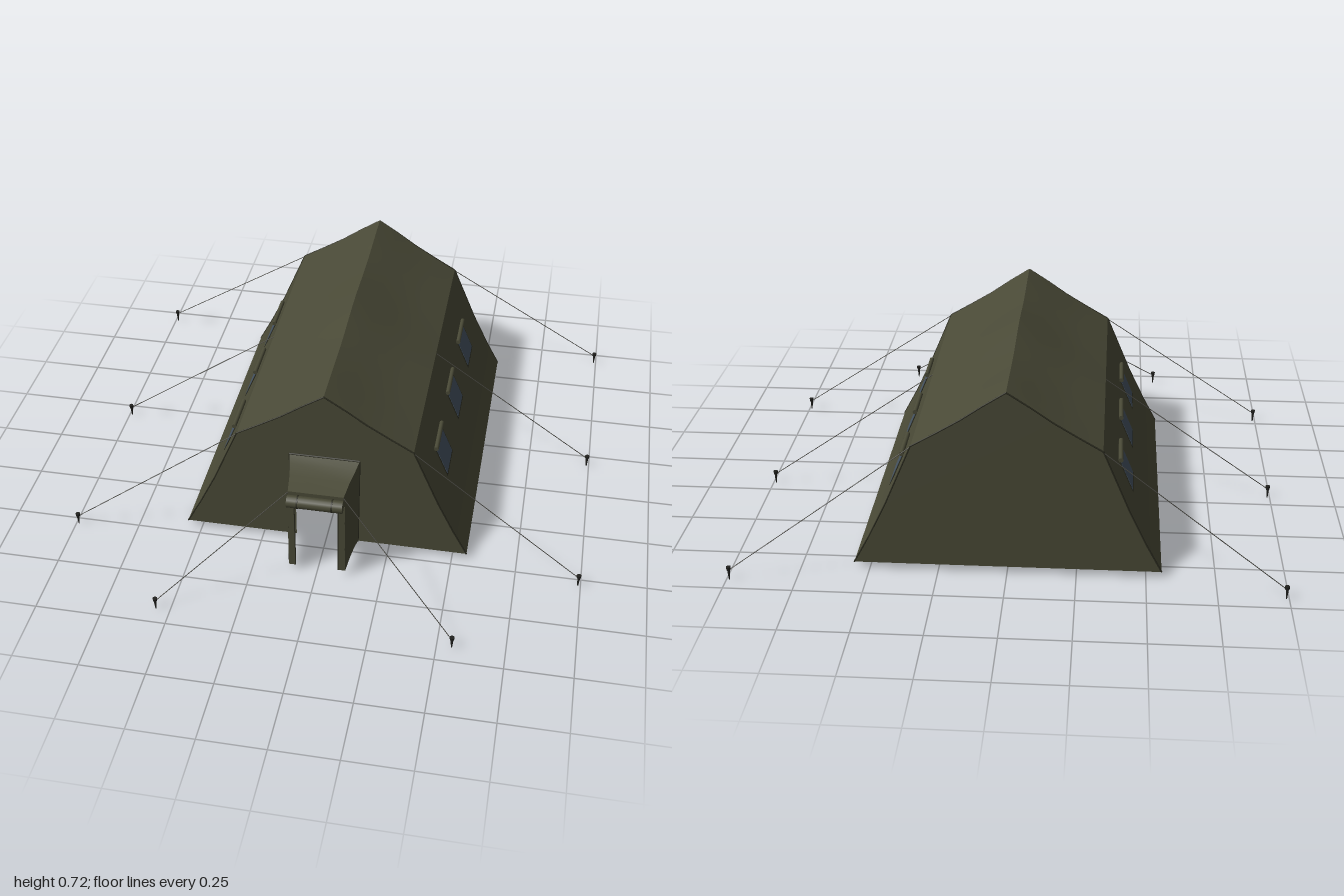
import * as THREE from 'three';
import { toCreasedNormals } from 'three/addons/utils/BufferGeometryUtils.js';

const material = (name, color, side = THREE.FrontSide) => {
  const m = new THREE.MeshStandardMaterial({ color, side });
  m.name = name;
  return m;
};

export function createModel() {
  const canvas = material('olive canvas', 0x4a4a37, THREE.DoubleSide);
  const trim = material('dark hem', 0x2c2c20);
  const glass = material('window film', 0x465462);
  const rope = material('guy rope', 0x4b4a44);
  const metal = material('stake metal', 0x20201d);

  const model = new THREE.Group();
  model.name = 'tent';
  const add = (name, geometry, mat, parent = model) => {
    const mesh = new THREE.Mesh(geometry, mat);
    mesh.name = name;
    parent.add(mesh);
    return mesh;
  };

  // Sheet stretched across a list of cross-sections
  const loft = (sections) => {
    const cols = sections[0].length;
    const index = [];
    for (let i = 0; i < sections.length - 1; i++) {
      for (let j = 0; j < cols - 1; j++) {
        const a = i * cols + j, b = a + cols;
        index.push(a, b, a + 1, b, b + 1, a + 1);
      }
    }
    const g = new THREE.BufferGeometry();
    g.setAttribute('position', new THREE.Float32BufferAttribute(sections.flat(2), 3));
    g.setIndex(index);
    return toCreasedNormals(g, 0.3);
  };

  // Thin round bar between two points
  const rod = (name, from, to, radius, mat, parent = model, sides = 6) => {
    const a = new THREE.Vector3(...from), b = new THREE.Vector3(...to);
    const dir = b.clone().sub(a);
    const mesh = add(name, new THREE.CylinderGeometry(radius, radius, dir.length(), sides), mat, parent);
    mesh.position.copy(a).add(b).multiplyScalar(0.5);
    mesh.quaternion.setFromUnitVectors(new THREE.Vector3(0, 1, 0), dir.normalize());
    return mesh;
  };

  // Tent outline, from the left ground edge over the ridge to the right
  const zFront = 0.46, zBack = -0.83, zMid = (zFront + zBack) / 2, floor = 0.025;
  const half = [[0.556, floor], [0.5, 0.13], [0.435, 0.265], [0.337, 0.498], [0.245, 0.552], [0.16, 0.604], [0.08, 0.66]];
  const profile = [...half, [0, 0.712], ...half.slice().reverse().map(([x, y]) => [-x, y])];

  // Shell, with the roof sagging between the poles
  const sections = [];
  const steps = 24;
  for (let i = 0; i <= steps; i++) {
    const t = i / steps;
    const z = zBack + (zFront - zBack) * t;
    const wave = 0.007 * Math.cos(t * Math.PI * 4) * (0.4 + 0.6 * Math.sin(t * Math.PI));
    sections.push(profile.map(([x, y]) => [x, y + wave * Math.max(0, (y - 0.5) / 0.21), z]));
  }
  add('tentShell', loft(sections), canvas);

  // End walls; the front one has a doorway
  const wallShape = (doorway) => {
    const points = profile.map(([x, y]) => new THREE.Vector2(x, y));
    if (doorway) {
      [[-0.115, floor], [-0.115, 0.36], [0.115, 0.36], [0.115, floor]]
        .forEach(([x, y]) => points.push(new THREE.Vector2(x, y)));
    }
    return new THREE.ShapeGeometry(new THREE.Shape(points));
  };
  add('frontWall', wallShape(true), canvas).position.z = zFront;
  const backWall = add('backWall', wallShape(false), canvas);
  backWall.rotation.y = Math.PI;
  backWall.position.z = zBack;

  // Hems along both gable edges
  const hems = new THREE.Group();
  hems.name = 'gableHems';
  model.add(hems);
  for (const z of [zFront, zBack]) {
    for (let i = 0; i < profile.length - 1; i++) {
      rod('hem', [...profile[i], z], [...profile[i + 1], z], 0.003, trim, hems);
    }
  }

  // Porch: side walls and roof in one sheet, flaring toward the tent
  const porch = new THREE.Group();
  porch.name = 'porch';
  model.add(porch);
  const porchSections = [[0.46, 0.13, 0.135, 0.43], [0.5, 0.122, 0.126, 0.415], [0.56, 0.115, 0.114, 0.404], [0.635, 0.11, 0.105, 0.395]]
    .map(([z, foot, top, y]) => [[foot, floor, z], [top, y, z], [-top, y, z], [-foot, floor, z]]);
  add('porchSheet', loft(porchSections), canvas, porch);
  const lintel = add('doorLintel', new THREE.BoxGeometry(0.21, 0.06, 0.006), canvas, porch);
  lintel.position.set(0, 0.364, 0.632);
  rod('porchRoofHem', [-0.135, 0.43, 0.463], [0.135, 0.43, 0.463], 0.004, trim, porch);

  // Rolled door curtain and its ties
  rod('rolledCurtain', [-0.105, 0.362, 0.652], [0.105, 0.362, 0.652], 0.024, canvas, porch, 16);
  for (const s of [1, -1]) {
    rod('curtainTie', [s * 0.062, 0.362, 0.652], [s * 0.068, 0.362, 0.652], 0.0255, trim, porch, 16);
    const post = add('doorEdge', new THREE.BoxGeometry(0.026, 0.32, 0.005), canvas, porch);
    post.position.set(s * 0.096, floor + 0.16, 0.632);
    rod('doorHem', [s * 0.083, floor, 0.634], [s * 0.083, 0.34, 0.634], 0.002, trim, porch);
    rod('porchWallHem', [s * 0.13, floor, 0.463], [s * 0.135, 0.43, 0.463], 0.003, trim, porch);
  }

  // Three windows on each sloping side, visible inside and out
  const lean = Math.atan2(0.098, 0.233);
  for (const s of [1, -1]) {
    for (const z of [0.18, -0.185, -0.55]) {
      const win = new THREE.Group();
      win.name = 'window';
      win.position.set(s * 0.419, 0.302, z);
      win.rotation.z = s * lean;
      model.add(win);
      add('windowBorder', new THREE.BoxGeometry(0.007, 0.144, 0.16), trim, win);
      add('windowPane', new THREE.BoxGeometry(0.0098, 0.128, 0.146), glass, win);
      rod('rolledWindowFlap', [s * 0.009, 0.069, -0.085], [s * 0.009, 0.069, 0.085], 0.009, canvas, win, 10);
    }
  }

  // Guy ropes and stakes: rope top, then stake position, mirrored
  const lines = [
    [[0.337, 0.495, 0.46], [0.99, 0.53]],
    [[0.337, 0.495, -0.19], [0.99, -0.19]],
    [[0.337, 0.495, -0.83], [0.99, -0.94]],
    [[0.105, 0.39, 0.635], [0.555, 0.93]],
  ];
  for (const s of [1, -1]) {
    for (const [[tx, ty, tz], [x, z]] of lines) {
      rod('guyRope', [s * tx, ty, tz], [s * x, 0.038, z], 0.0016, rope);
      const stake = new THREE.Group();
      stake.name = 'stake';
      stake.position.set(s * x, 0, z);
      model.add(stake);
      add('stakeShaft', new THREE.CylinderGeometry(0.006, 0.002, 0.044, 8), metal, stake).position.y = 0.022;
      add('stakeHead', new THREE.CylinderGeometry(0.009, 0.008, 0.012, 8), metal, stake).position.y = 0.046;
    }
  }
  return model;
}
